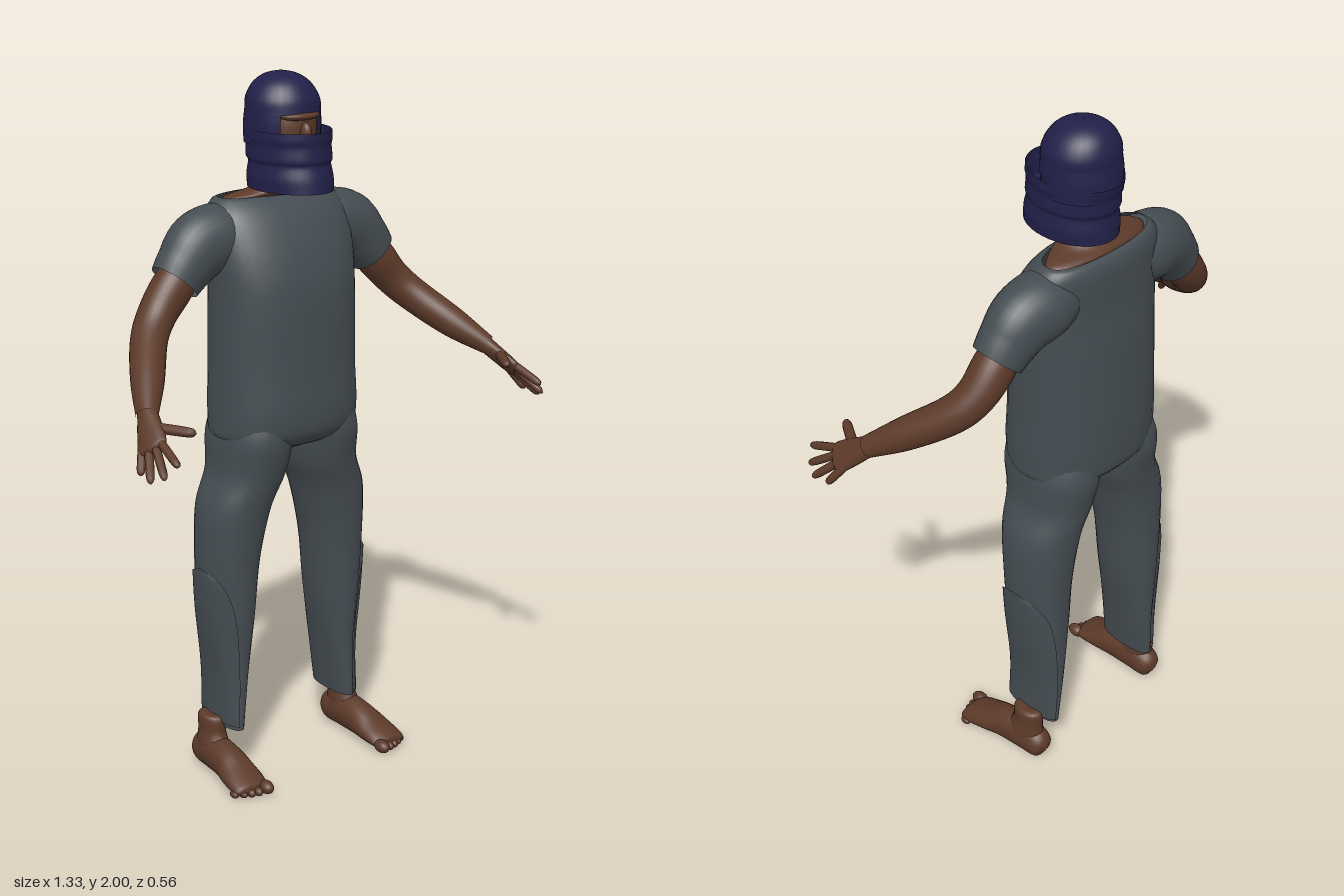
import * as THREE from 'three';

const material = (name, color, side = THREE.FrontSide) => {
  const m = new THREE.MeshStandardMaterial({ color, side });
  m.name = name;
  return m;
};

// Smooth skin over elliptical sections [x, y, z, halfWidth, halfDepth].
// Sections lie flat (ordered upwards) unless ref is given; then they follow the path.
// arc(v) limits the angles covered, for open cloth pieces; square < 1 makes them boxier.
function loft(rows, { seg = 28, steps = 5, ref = null, arc = null, square = 1 } = {}) {
  const path = new THREE.CatmullRomCurve3(rows.map(r => new THREE.Vector3(r[0], r[1], r[2])), false, 'catmullrom', 0.5);
  const size = new THREE.CatmullRomCurve3(rows.map(r => new THREE.Vector3(r[3], r[4], 0)), false, 'catmullrom', 0.5);
  const rings = (rows.length - 1) * steps, cols = arc ? seg + 1 : seg;
  const pos = [], index = [];
  const bend = c => Math.sign(c) * Math.pow(Math.abs(c), square);
  for (let i = 0; i <= rings; i++) {
    const v = i / rings, c = path.getPoint(v), s = size.getPoint(v);
    const t = ref ? path.getTangent(v) : new THREE.Vector3(0, 1, 0);
    const u = ref ? t.clone().cross(ref).normalize() : new THREE.Vector3(1, 0, 0);
    const w = u.clone().cross(t);
    const [a0, a1] = arc ? arc(v) : [0, Math.PI * 2];
    for (let j = 0; j < cols; j++) {
      const a = a0 + (a1 - a0) * j / seg;
      const p = c.clone()
        .addScaledVector(u, bend(Math.cos(a)) * Math.max(s.x, 0.0005))
        .addScaledVector(w, bend(Math.sin(a)) * Math.max(s.y, 0.0005));
      pos.push(p.x, Math.max(p.y, 0), p.z);
    }
  }
  for (let i = 0; i < rings; i++) {
    for (let j = 0; j < seg; j++) {
      const k = (j + 1) % cols, a = i * cols + j, b = i * cols + k;
      index.push(a, a + cols, b, b, a + cols, b + cols);
    }
  }
  const g = new THREE.BufferGeometry();
  g.setAttribute('position', new THREE.Float32BufferAttribute(pos, 3));
  g.setIndex(index);
  g.computeVertexNormals();
  return g;
}

const ball = (x, y, z, rx, ry, rz) =>
  new THREE.SphereGeometry(1, 20, 14).scale(rx, ry, rz).translate(x, y, z);

// Copy of a geometry reflected to the other side of the body
function mirrored(geo) {
  const g = geo.clone();
  const p = g.attributes.position, idx = g.index.array;
  for (let i = 0; i < p.count; i++) p.setX(i, -p.getX(i));
  for (let i = 0; i < idx.length; i += 3) [idx[i + 1], idx[i + 2]] = [idx[i + 2], idx[i + 1]];
  g.computeVertexNormals();
  return g;
}

export function createModel() {
  const model = new THREE.Group();
  model.name = 'figure';
  const skin = material('brown skin', 0x5c3a29);
  const cloth = material('slate cloth', 0x454d52, THREE.DoubleSide);
  const scarf = material('indigo cloth', 0x222049, THREE.DoubleSide);

  const add = (name, geo, mat) => {
    const m = new THREE.Mesh(geo, mat);
    m.name = name;
    model.add(m);
  };
  const pair = (name, geo, mat) => {
    add('left' + name, geo, mat);
    add('right' + name, mirrored(geo), mat);
  };

  // Shirt body, running on into the seat of the trousers
  add('shirt', loft([
    [0, 0.955, -0.125, 0.08, 0.06], [0, 0.995, -0.125, 0.205, 0.14], [0, 1.06, -0.12, 0.22, 0.16],
    [0, 1.2, -0.122, 0.216, 0.158], [0, 1.4, -0.12, 0.216, 0.15], [0, 1.5, -0.125, 0.22, 0.135],
    [0, 1.58, -0.14, 0.22, 0.117], [0, 1.63, -0.155, 0.212, 0.1], [0, 1.66, -0.165, 0.19, 0.08],
    [0, 1.668, -0.165, 0.175, 0.064],
  ], { seg: 40, square: 0.85 }), cloth);

  // Short sleeves, open at the cuff
  const forward = new THREE.Vector3(0, 0, 1);
  pair('Sleeve', loft([
    [0.1, 1.575, -0.16, 0.07, 0.07], [0.18, 1.565, -0.16, 0.092, 0.09], [0.25, 1.545, -0.155, 0.095, 0.085],
    [0.3, 1.5, -0.15, 0.082, 0.075], [0.335, 1.46, -0.147, 0.072, 0.068],
  ], { ref: forward }), cloth);

  // Trouser legs
  pair('TrouserLeg', loft([
    [0.2, 0.14, -0.14, 0.028, 0.09], [0.19, 0.3, -0.143, 0.042, 0.092], [0.187, 0.48, -0.141, 0.07, 0.096],
    [0.183, 0.65, -0.138, 0.086, 0.1], [0.163, 0.8, -0.133, 0.1, 0.112], [0.125, 0.9, -0.128, 0.1, 0.128],
    [0.113, 1.0, -0.125, 0.105, 0.145], [0.1, 1.08, -0.12, 0.1, 0.13],
  ], { square: 0.9 }), cloth);

  // Loose flap on the outside of each lower leg
  pair('TrouserFlap', loft([
    [0.204, 0.155, -0.14, 0.032, 0.096], [0.196, 0.3, -0.143, 0.045, 0.096],
    [0.193, 0.48, -0.141, 0.072, 0.1], [0.187, 0.63, -0.138, 0.089, 0.104],
  ], {
    square: 0.9,
    arc: v => { const h = 1.4 * Math.sqrt(Math.max(1 - v ** 4, 0)) + 0.01; return [-h, h]; },
  }), cloth);

  // Bare arms
  pair('Arm', loft([
    [0.28, 1.52, -0.15, 0.05, 0.05], [0.345, 1.445, -0.147, 0.058, 0.057], [0.4, 1.38, -0.138, 0.052, 0.054],
    [0.45, 1.325, -0.1, 0.049, 0.051], [0.52, 1.25, 0, 0.044, 0.045], [0.58, 1.19, 0.09, 0.027, 0.03],
  ], { ref: forward }), skin);

  // Hands: palm, four fingers and thumb
  const palmNormal = new THREE.Vector3(-0.78, -0.61, -0.1);
  pair('Palm', loft([
    [0.572, 1.198, 0.078, 0.027, 0.024], [0.59, 1.17, 0.115, 0.036, 0.021],
    [0.607, 1.143, 0.152, 0.043, 0.018], [0.617, 1.128, 0.172, 0.039, 0.014], [0.621, 1.122, 0.18, 0.001, 0.001],
  ], { ref: palmNormal, seg: 18 }), skin);
  const tips = [[0.612, 1.11, 0.283], [0.64, 1.075, 0.262], [0.66, 1.06, 0.226], [0.655, 1.066, 0.172]];
  const digit = (from, to, r) => {
    const at = (k, s) => [0, 1, 2].map(i => from[i] + (to[i] - from[i]) * k).concat([r * s, r * s]);
    return loft([at(0, 1), at(0.5, 1), at(0.88, 0.85), at(1, 0.05)], { ref: palmNormal, seg: 10, steps: 3 });
  };
  tips.forEach((tip, i) => {
    const k = (i - 1.5) * 0.021;
    pair('Finger' + (i + 1), digit([0.612 + k * 0.36, 1.136 - k * 0.32, 0.16 - k * 0.88], tip, 0.0115), skin);
  });
  pair('Thumb', digit([0.583, 1.172, 0.14], [0.526, 1.17, 0.235], 0.014), skin);

  // Feet, ankles and toes
  pair('Foot', loft([
    [0.236, 0.04, -0.222, 0.005, 0.005], [0.236, 0.045, -0.203, 0.035, 0.043], [0.238, 0.055, -0.14, 0.043, 0.055],
    [0.241, 0.05, -0.06, 0.048, 0.05], [0.246, 0.036, 0, 0.056, 0.036], [0.25, 0.025, 0.05, 0.056, 0.025],
    [0.25, 0.02, 0.075, 0.045, 0.015], [0.25, 0.02, 0.083, 0.002, 0.002],
  ], { ref: new THREE.Vector3(0, 1, 0), seg: 20 }), skin);
  pair('Ankle', loft([
    [0.239, 0.03, -0.135, 0.038, 0.07], [0.239, 0.08, -0.14, 0.039, 0.062], [0.237, 0.12, -0.148, 0.035, 0.05],
    [0.235, 0.168, -0.15, 0.034, 0.046], [0.235, 0.17, -0.15, 0.001, 0.001],
  ], { seg: 20 }), skin);
  for (let i = 0; i < 5; i++) {
    const r = i ? 0.0135 - i * 0.0006 : 0.019;
    pair('Toe' + (i + 1), ball(i ? 0.218 + i * 0.0205 : 0.211, r + 0.001, 0.083 - i * i * 0.0018, r, r, r * 1.5), skin);
  }

  // Neck and the skin showing in the wide neckline
  add('neck', loft([
    [0, 1.6, -0.165, 0.165, 0.06], [0, 1.66, -0.163, 0.168, 0.062], [0, 1.682, -0.14, 0.09, 0.066],
    [0, 1.72, -0.122, 0.07, 0.068], [0, 1.8, -0.12, 0.068, 0.07],
  ]), skin);

  // Head, brow and nose
  add('head', ball(0, 1.855, -0.11, 0.088, 0.125, 0.098), skin);
  add('brow', ball(0, 1.888, -0.04, 0.062, 0.014, 0.04), skin);
  add('nose', ball(0, 1.845, -0.01, 0.015, 0.028, 0.02), skin);

  // Head covering: cap, open-fronted band and the loose wrap below the eyes
  add('cap', loft([
    [0, 1.893, -0.113, 0.103, 0.104], [0, 1.93, -0.115, 0.1, 0.1], [0, 1.967, -0.118, 0.078, 0.08],
    [0, 1.99, -0.12, 0.044, 0.046], [0, 2, -0.12, 0.001, 0.001],
  ]), scarf);
  add('headBand', loft([
    [0, 1.81, -0.118, 0.104, 0.104], [0, 1.86, -0.116, 0.105, 0.107], [0, 1.9, -0.114, 0.102, 0.104],
  ], { arc: () => [Math.PI / 2 + 0.68, Math.PI * 2.5 - 0.68] }), scarf);
  add('faceWrap', loft([
    [0, 1.69, -0.08, 0.104, 0.14], [0, 1.725, -0.082, 0.106, 0.137], [0, 1.76, -0.084, 0.101, 0.13],
    [0, 1.775, -0.086, 0.106, 0.136], [0, 1.81, -0.088, 0.104, 0.135], [0, 1.828, -0.09, 0.108, 0.139],
    [0, 1.85, -0.092, 0.107, 0.141],
  ], { seg: 36 }), scarf);

  return model;
}
